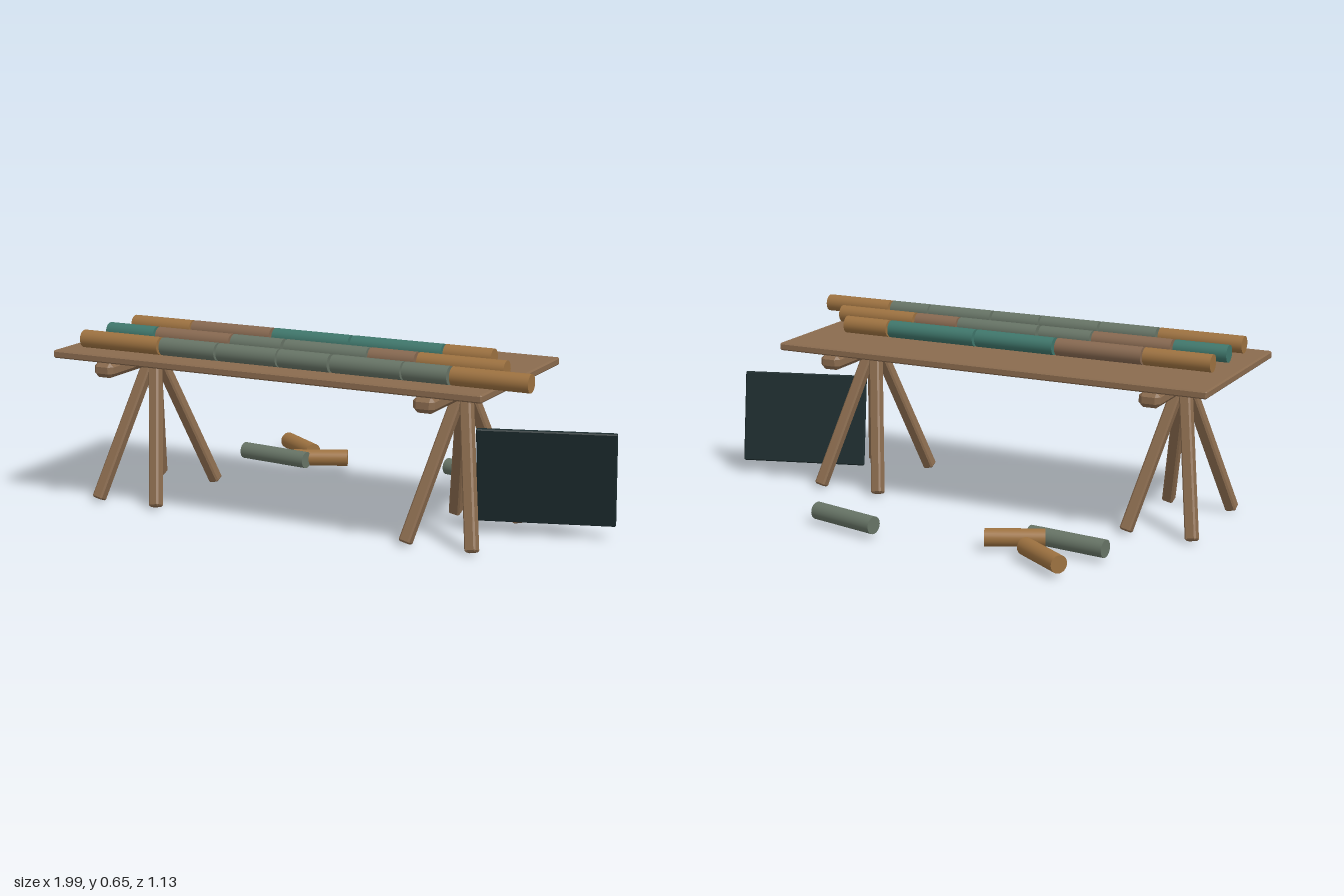
import * as THREE from 'three';
import { ConvexGeometry } from 'three/addons/geometries/ConvexGeometry.js';

const paint = (name, color, flatShading = false) => {
  const m = new THREE.MeshStandardMaterial({ color, flatShading });
  m.name = name;
  return m;
};

// Box with every edge cut at 45 degrees
function chamferBox(w, h, d, c) {
  const pts = [];
  for (const sx of [-1, 1]) for (const sy of [-1, 1]) for (const sz of [-1, 1])
    for (const full of [0, 1, 2]) {
      const half = [w, h, d].map((s, i) => s / 2 - (i === full ? 0 : c));
      pts.push(new THREE.Vector3(sx * half[0], sy * half[1], sz * half[2]));
    }
  return new ConvexGeometry(pts);
}

export function createModel() {
  const model = new THREE.Group();
  model.name = 'trestleTableWithLogs';
  const wood = paint('brown wood', 0x8a6b4e, true);
  const slate = paint('dark slate', 0x1c2b2d, true);
  const colours = {
    o: paint('ochre', 0x9c7140),
    b: paint('brown', 0x866850),
    g: paint('grey green', 0x667365),
    t: paint('teal', 0x3f766b),
  };

  const add = (parent, name, geometry, material, x = 0, y = 0, z = 0) => {
    const mesh = new THREE.Mesh(geometry, material);
    mesh.name = name;
    mesh.position.set(x, y, z);
    parent.add(mesh);
    return mesh;
  };
  // Stretches a part along its own y axis between two points
  const between = (mesh, a, b) => {
    mesh.position.copy(a).add(b).multiplyScalar(0.5);
    mesh.quaternion.setFromUnitVectors(new THREE.Vector3(0, 1, 0), b.clone().sub(a).normalize());
  };
  const addLog = (parent, name, key, a, b) => {
    const geometry = new THREE.CylinderGeometry(0.032, 0.032, a.distanceTo(b), 28);
    between(add(parent, name, geometry, colours[key]), a, b);
  };

  // Table top
  add(model, 'tableTop', chamferBox(1.68, 0.028, 0.7, 0.005), wood, -0.16, 0.576, 0.213);

  // Two trestles, each a cross beam on four splayed legs
  for (const x of [-0.79, 0.47]) {
    const trestle = new THREE.Group();
    trestle.name = 'trestle';
    trestle.position.set(x, 0, 0.215);
    model.add(trestle);
    add(trestle, 'crossBeam', chamferBox(0.08, 0.056, 0.7, 0.016), wood, 0, 0.535, 0);
    for (const sx of [-1, 1]) for (const sz of [-1, 1]) {
      const foot = new THREE.Vector3(sx * 0.125, 0.012, sz * 0.213);
      const top = new THREE.Vector3(sx * 0.008, 0.528, sz * 0.008);
      const geometry = chamferBox(0.042, foot.distanceTo(top), 0.042, 0.006);
      between(add(trestle, 'leg', geometry, wood), foot, top);
    }
  }

  // Rows of log pieces on the table: [colour, start x, end x]
  const rows = [
    [0.132, [['o', -0.925, -0.672], ['b', -0.665, -0.333], ['t', -0.322, -0.012],
      ['t', -0.002, 0.352], ['o', 0.36, 0.542]]],
    [0.301, [['t', -0.925, -0.722], ['b', -0.712, -0.405], ['g', -0.397, -0.192],
      ['g', -0.18, 0.145], ['b', 0.152, 0.328], ['o', 0.338, 0.66]]],
    [0.468, [['o', -0.925, -0.6], ['g', -0.59, -0.365], ['g', -0.356, -0.12],
      ['g', -0.113, 0.082], ['g', 0.092, 0.355], ['g', 0.362, 0.526], ['o', 0.536, 0.815]]],
  ];
  for (const [z, pieces] of rows) {
    const row = new THREE.Group();
    row.name = 'logRow';
    model.add(row);
    for (const [key, x0, x1] of pieces)
      addLog(row, 'logPiece', key, new THREE.Vector3(x0, 0.624, z), new THREE.Vector3(x1, 0.624, z));
  }

  // Loose pieces on the floor: [colour, x, z, x, z]
  for (const [key, x0, z0, x1, z1] of [
    ['o', -0.647, -0.542, -0.465, -0.418], ['g', -0.722, -0.322, -0.425, -0.288],
    ['o', -0.49, -0.305, -0.298, -0.393], ['g', 0.108, -0.452, 0.377, -0.388],
  ]) addLog(model, 'loosePiece', key, new THREE.Vector3(x0, 0.05, z0), new THREE.Vector3(x1, 0.05, z1));

  // Slate board leaning on the trestle
  const board = add(model, 'slateBoard', chamferBox(0.483, 0.35, 0.018, 0.004), slate, 0.75, 0.225, 0.148);
  board.rotation.set(0.184, 0.295, 0, 'YXZ');

  return model;
}
